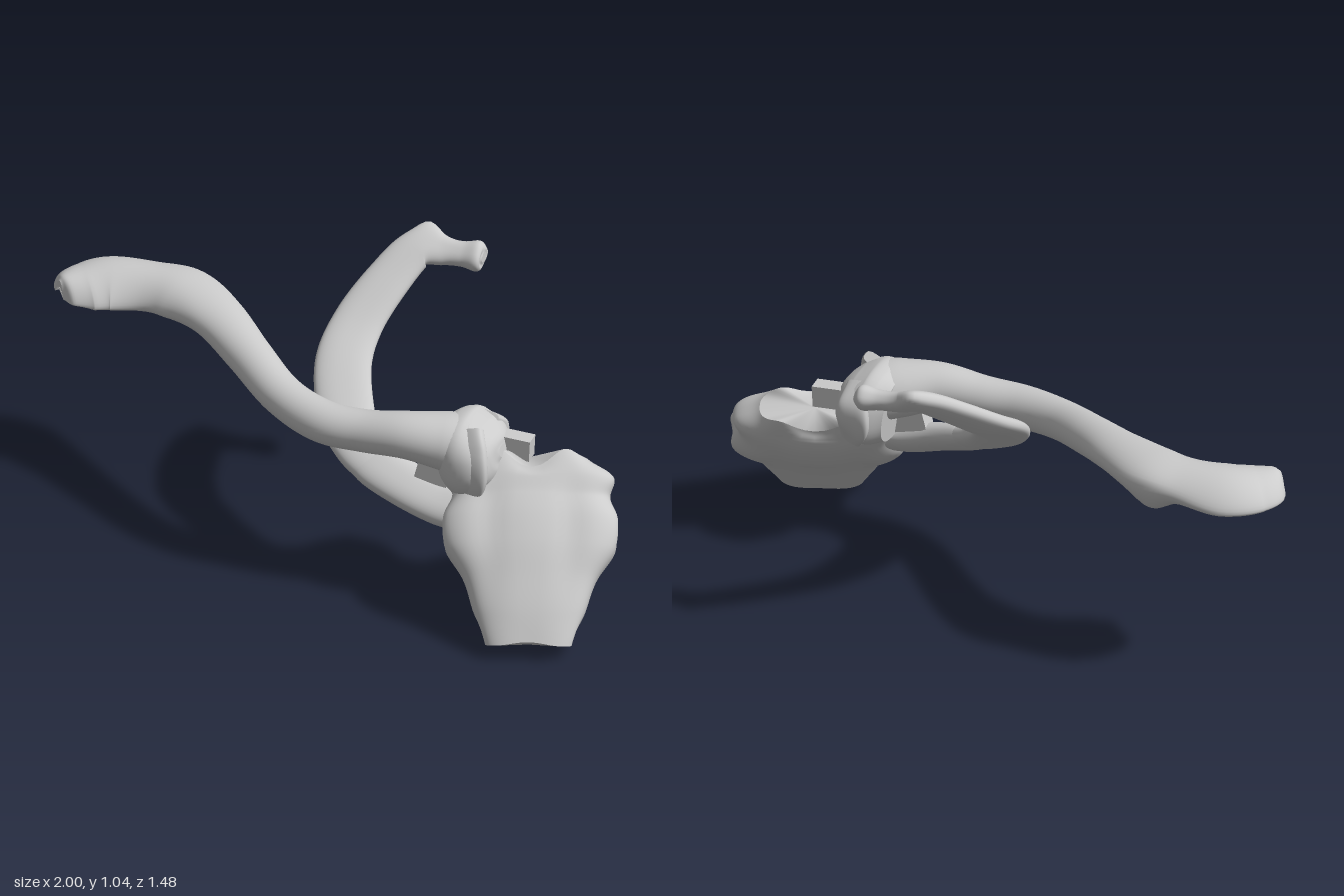
import * as THREE from 'three';

const material = new THREE.MeshStandardMaterial({ color: 0xcccccc, side: THREE.DoubleSide });

// Smooth solid swept through stations [x, y, z, halfWidth, halfThickness].
// "up" fixes the thickness direction, "boxy" < 1 squares the section,
// "shape(point, c, s, t)" may move each vertex by a rule.
function loft(name, stations, { up, boxy = 1, shape, rows = 72, sides = 40 }) {
  const path = new THREE.CatmullRomCurve3(stations.map(s => new THREE.Vector3(s[0], s[1], s[2])), false, 'catmullrom');
  const size = new THREE.CatmullRomCurve3(stations.map(s => new THREE.Vector3(s[3], s[4], 0)), false, 'catmullrom');
  const upDir = new THREE.Vector3(...up).normalize();
  const pos = [], index = [];
  const power = v => Math.sign(v) * Math.abs(v) ** boxy;
  for (let i = 0; i <= rows; i++) {
    const t = i / rows;
    const p = path.getPoint(t), r = size.getPoint(t), tangent = path.getTangent(t);
    const side = upDir.clone().cross(tangent).normalize();
    const normal = tangent.clone().cross(side);
    for (let j = 0; j < sides; j++) {
      const angle = j / sides * Math.PI * 2;
      const c = power(Math.cos(angle)), s = power(Math.sin(angle));
      const v = p.clone().addScaledVector(side, r.x * c).addScaledVector(normal, r.y * s);
      if (shape) shape(v, c, s, t);
      pos.push(v.x, v.y, v.z);
      if (i < rows) {
        const a = i * sides + j, b = i * sides + (j + 1) % sides;
        index.push(a, b, a + sides, b, b + sides, a + sides);
      }
    }
  }
  // End caps: own copies of the rim keep the edge crisp
  for (const end of [0, rows]) {
    const first = pos.length / 3, mid = [0, 0, 0];
    for (let j = 0; j < sides; j++) {
      for (let k = 0; k < 3; k++) {
        const v = pos[(end * sides + j) * 3 + k];
        pos.push(v);
        mid[k] += v / sides;
      }
    }
    pos.push(...mid);
    for (let j = 0; j < sides; j++) {
      const a = first + j, b = first + (j + 1) % sides;
      index.push(first + sides, end ? a : b, end ? b : a);
    }
  }
  const geometry = new THREE.BufferGeometry();
  geometry.setAttribute('position', new THREE.Float32BufferAttribute(pos, 3));
  geometry.setIndex(index);
  geometry.computeVertexNormals();
  const mesh = new THREE.Mesh(geometry, material);
  mesh.name = name;
  return mesh;
}

function box(name, size, position, rotation) {
  const mesh = new THREE.Mesh(new THREE.BoxGeometry(...size), material);
  mesh.name = name;
  mesh.position.set(...position);
  mesh.rotation.set(...rotation);
  return mesh;
}

const bump = (v, centre, width) => Math.exp(-(((v - centre) / width) ** 2));

export function createModel() {
  const model = new THREE.Group();
  model.name = 'collarboneJoint';

  // S-curved collarbone, its flat outer end drooping at the edges
  model.add(loft('collarbone', [
    [-0.985, 0.768, -0.53, 0.035, 0.012], [-0.965, 0.766, -0.54, 0.085, 0.03],
    [-0.9, 0.761, -0.572, 0.13, 0.045], [-0.8, 0.763, -0.597, 0.147, 0.055],
    [-0.66, 0.758, -0.563, 0.125, 0.061], [-0.54, 0.75, -0.5, 0.127, 0.07],
    [-0.42, 0.735, -0.36, 0.1, 0.066], [-0.31, 0.695, -0.18, 0.083, 0.07],
    [-0.19, 0.65, 0.01, 0.078, 0.07], [-0.05, 0.625, 0.14, 0.08, 0.075],
    [0.1, 0.625, 0.205, 0.078, 0.075], [0.25, 0.637, 0.25, 0.09, 0.083],
    [0.38, 0.622, 0.26, 0.115, 0.1], [0.46, 0.61, 0.265, 0.13, 0.105],
  ], {
    up: [0, 1, 0], rows: 110,
    shape(v, c, s) {
      v.y -= 0.045 * c * c * THREE.MathUtils.smoothstep(-v.x, 0.5, 0.8);
      // knob under the rear edge of the bend
      if (s < 0.3) v.y -= 0.045 * bump(v.x, -0.53, 0.08) * bump(v.z, -0.6, 0.07) * (0.3 - s);
    },
  }));

  // Flat first rib with its tubercle and head, and the cartilage joining it to the breastbone
  const ribUp = [0, 0.76, 0.65];
  const seam = [0.15, 0.473, 0.185, 0.085, 0.042];
  model.add(loft('rib', [
    seam, [0.08, 0.517, 0.115, 0.09, 0.04], [0.035, 0.58, 0.015, 0.1, 0.035],
    [0.02, 0.692, -0.135, 0.1, 0.034], [0.07, 0.787, -0.265, 0.09, 0.034],
    [0.17, 0.893, -0.378, 0.08, 0.034], [0.27, 0.972, -0.455, 0.07, 0.034],
    [0.36, 0.968, -0.452, 0.05, 0.034], [0.43, 0.967, -0.437, 0.045, 0.036],
    [0.48, 0.967, -0.425, 0.055, 0.045], [0.5, 0.967, -0.42, 0.045, 0.035],
    [0.505, 0.967, -0.418, 0.02, 0.015],
  ], {
    up: ribUp, boxy: 0.85, rows: 96,
    shape(v, c) {
      const push = 0.035 * Math.max(c, 0) * bump(v.x, 0.315, 0.05);
      v.y += 0.65 * push;
      v.z -= 0.76 * push;
    },
  }));
  model.add(loft('ribCartilage', [
    [0.44, 0.39, 0.33, 0.085, 0.05], [0.36, 0.4, 0.3, 0.083, 0.05],
    [0.25, 0.435, 0.25, 0.084, 0.047], [0.15, 0.473, 0.185, 0.087, 0.044],
    [0.11, 0.497, 0.145, 0.08, 0.034],
  ], { up: ribUp, boxy: 0.85, rows: 30 }));

  // Leaning breastbone: notched top with two horns, hollowed rib sockets
  const midX = 0.69;
  model.add(loft('breastbone', [
    [midX, 0.043, 0.673, 0.16, 0.075], [midX, 0.13, 0.607, 0.196, 0.09],
    [midX, 0.22, 0.53, 0.235, 0.101], [midX, 0.3, 0.455, 0.305, 0.114],
    [midX, 0.365, 0.385, 0.32, 0.12], [midX, 0.428, 0.32, 0.278, 0.112],
    [midX, 0.49, 0.275, 0.288, 0.096], [midX, 0.538, 0.24, 0.195, 0.075],
  ], {
    up: [0, 0.65, 0.76], boxy: 0.75, sides: 64,
    shape(v, c, s, t) {
      const off = Math.abs(v.x - midX);
      const top = THREE.MathUtils.smoothstep(t, 0.8, 1), bottom = 1 - THREE.MathUtils.smoothstep(t, 0, 0.12);
      const lift = top * (0.035 * bump(off, 0.12, 0.05) - 0.035 * bump(off, 0, 0.07))
        + bottom * (0.02 * bump(off, 0, 0.09) - 0.022 * Math.max(s, 0));
      v.y += 0.76 * lift;
      v.z -= 0.65 * lift;
      // shallow grooves beside the middle ridge
      const groove = 0.014 * bump(off, 0.14, 0.06) * s * bump(t, 0.55, 0.3);
      v.y -= 0.65 * groove;
      v.z -= 0.76 * groove;
      // rib sockets
      const socket = bump(s, -0.05, 0.32) * Math.abs(c);
      const dent = socket * (0.03 * bump(t, 0.54, 0.09) + 0.03 * bump(t, 0.03, 0.06));
      v.x -= Math.sign(v.x - midX) * dent;
    },
  }));

  // Joint capsule around the inner end of the collarbone, turned toward the breastbone
  model.add(loft('jointCapsule', [
    [0.405, 0.565, 0.215, 0.11, 0.125], [0.45, 0.572, 0.235, 0.16, 0.145],
    [0.5, 0.58, 0.255, 0.168, 0.142], [0.55, 0.592, 0.272, 0.145, 0.105],
    [0.58, 0.6, 0.283, 0.09, 0.065], [0.59, 0.602, 0.287, 0.03, 0.02],
  ], { up: [0, 1, 0], boxy: 0.85 }));

  // Ligament bands lying close on the capsule
  model.add(loft('frontLigament', [
    [0.47, 0.69, 0.305, 0.06, 0.022], [0.465, 0.635, 0.362, 0.078, 0.025],
    [0.465, 0.55, 0.38, 0.078, 0.025], [0.46, 0.45, 0.335, 0.055, 0.025],
  ], { up: [-0.45, 0, 0.9], boxy: 0.6, rows: 24 }));
  model.add(loft('backLigament', [
    [0.53, 0.68, 0.185, 0.045, 0.02], [0.55, 0.62, 0.117, 0.058, 0.024],
    [0.55, 0.54, 0.12, 0.058, 0.024], [0.56, 0.46, 0.185, 0.045, 0.022],
  ], { up: [0.4, 0, -0.9], boxy: 0.6, rows: 24 }));

  // Cut ligament ends
  model.add(box('crossLigament', [0.15, 0.08, 0.06], [0.62, 0.597, 0.235], [0, -0.3, -0.05]));
  model.add(box('ribLigament', [0.12, 0.09, 0.07], [0.355, 0.51, 0.26], [0, -0.3, -0.25]));

  return model;
}
